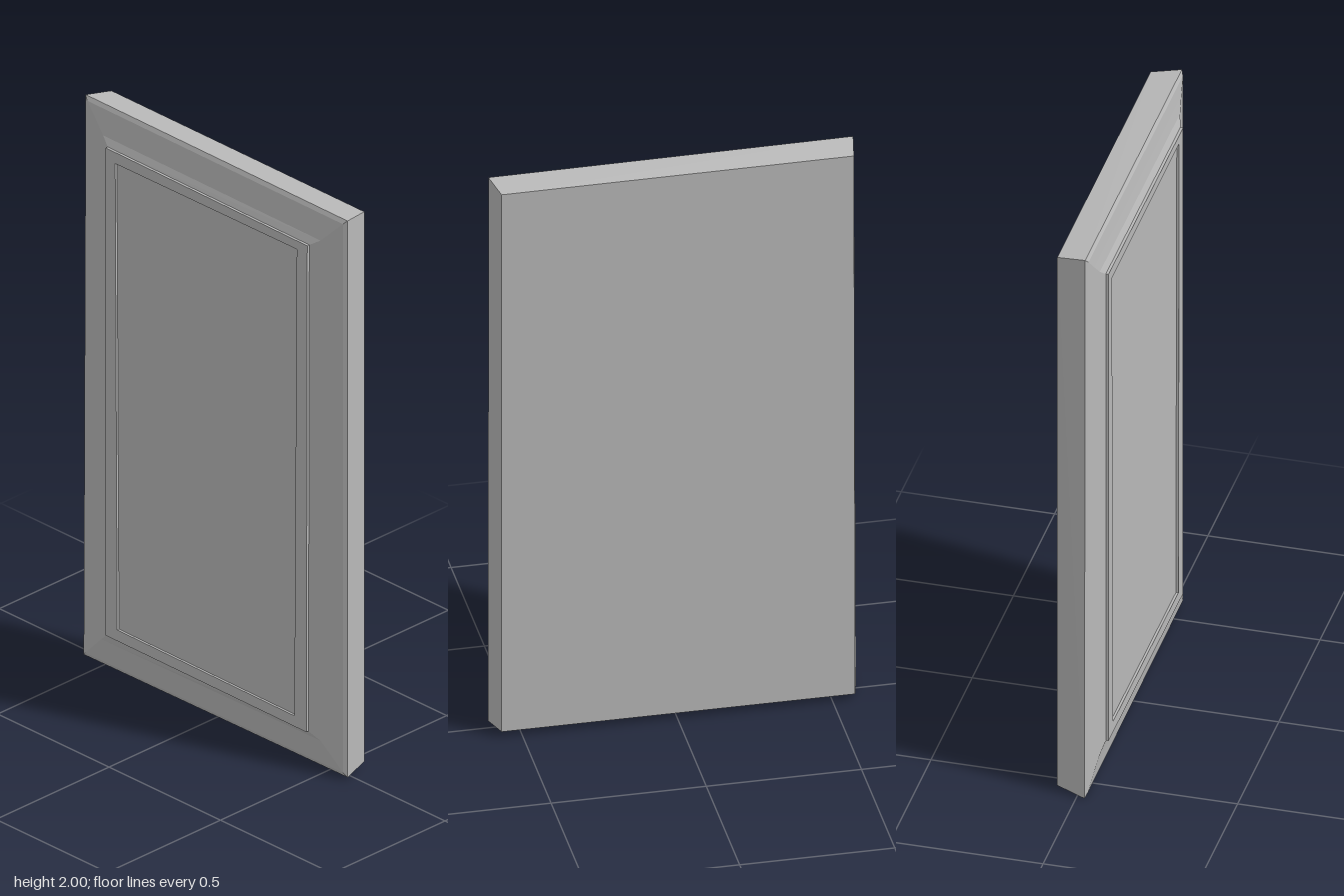
import * as THREE from 'three';

// A rectangular ring: corners bottom left, bottom right, top right, top left at depth z
const ring = (z, ...c) => c.map(([x, y]) => [x, y, z]);

// Shrink a ring evenly by d and move it to depth z
const inset = (r, d, z) =>
  r.map(([x, y]) => [x - Math.sign(x) * d, y + (y < 1 ? d : -d), z]);

// Bands between successive rings, back to front, with optional end caps
function loft(name, rings, material, capBack = false, capFront = false) {
  const pos = [];
  const quad = (a, b, c, d) => pos.push(...a, ...b, ...c, ...a, ...c, ...d);
  for (let k = 0; k < rings.length - 1; k++) {
    const a = rings[k], b = rings[k + 1];
    for (let i = 0; i < 4; i++) {
      const j = (i + 1) % 4;
      quad(a[i], a[j], b[j], b[i]);
    }
  }
  if (capBack) {
    const [p, q, r, s] = rings[0];
    quad(s, r, q, p);
  }
  if (capFront) quad(...rings[rings.length - 1]);
  const g = new THREE.BufferGeometry();
  g.setAttribute('position', new THREE.Float32BufferAttribute(pos, 3));
  g.computeVertexNormals();
  const mesh = new THREE.Mesh(g, material);
  mesh.name = name;
  return mesh;
}

export function createModel() {
  const group = new THREE.Group();
  group.name = 'framedPanel';
  const grey = new THREE.MeshStandardMaterial({ color: 0xb8b8b8 });
  grey.name = 'plain grey';

  // Slightly uneven outlines, as if cut by hand
  const back = ring(-0.07, [-0.572, 0.02], [0.567, 0.022], [0.567, 1.983], [-0.568, 1.985]);
  const outer = ring(0.026, [-0.595, 0], [0.59, 0.01], [0.589, 1.994], [-0.586, 2]);
  const lip = ring(0.058, [-0.455, 0.136], [0.446, 0.132], [0.45, 1.868], [-0.455, 1.875]);
  const opening = ring(0.067, [-0.403, 0.175], [0.392, 0.17], [0.403, 1.838], [-0.412, 1.835]);
  const rim = inset(outer, 0.014, 0.033);

  // Slab with tapered sides
  group.add(loft('body', [back, outer], grey, true));
  // Narrow bevel, then a shallow scooped slope up to the lip
  group.add(loft('moulding', [outer, rim, inset(outer, 0.06, 0.04),
    inset(outer, 0.1, 0.047), lip], grey));
  // Thin raised lip, stepping down again on its inner side
  group.add(loft('innerLip', [lip, inset(lip, 0, 0.067), opening,
    inset(opening, 0, 0.059)], grey));
  // Flat centre panel
  group.add(loft('centrePanel', [inset(opening, 0, 0.059)], grey, false, true));
  return group;
}
